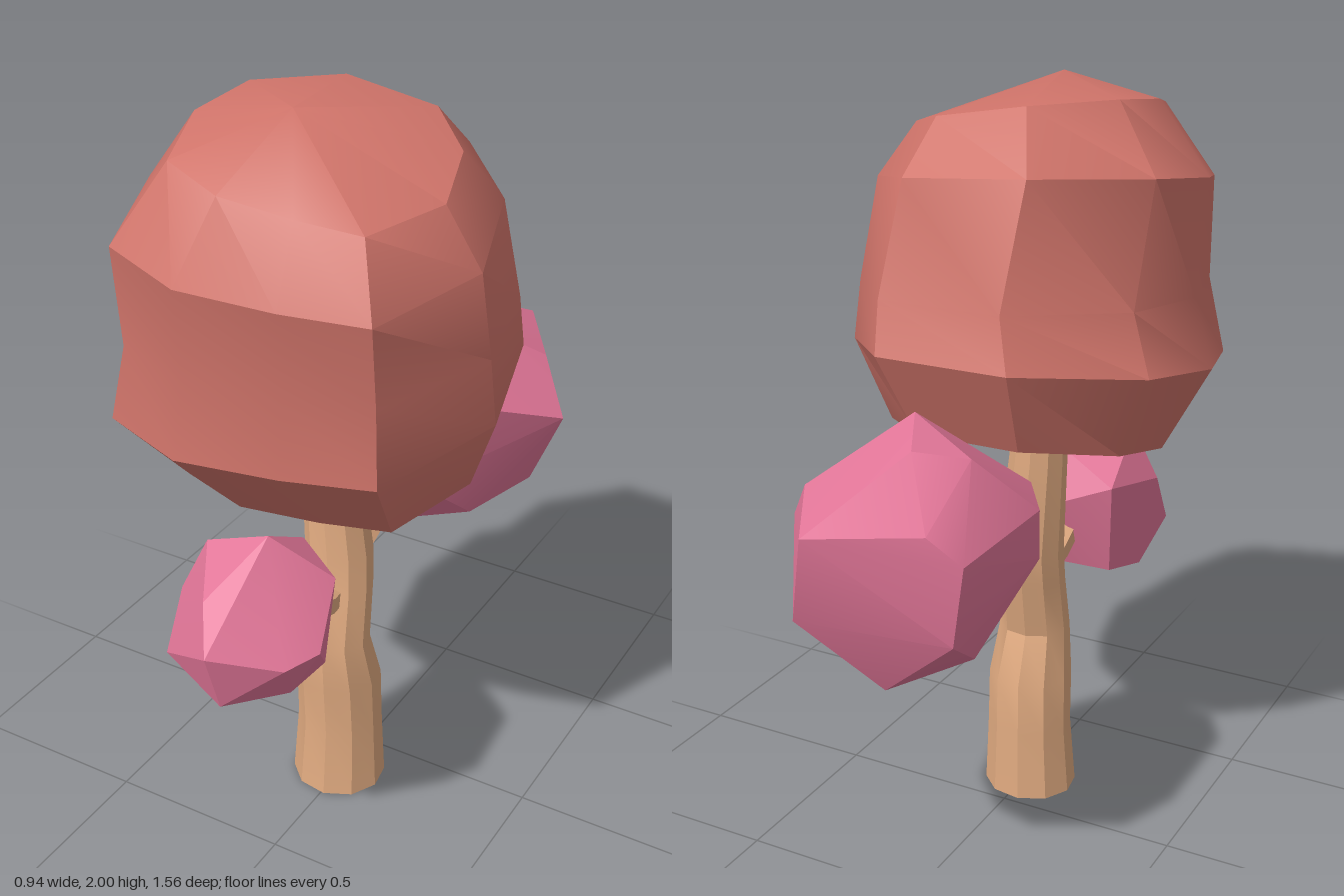
import * as THREE from 'three';
import { toCreasedNormals } from 'three/addons/utils/BufferGeometryUtils.js';
import { ConvexGeometry } from 'three/addons/geometries/ConvexGeometry.js';

const bark = new THREE.MeshStandardMaterial({ color: 0xe0aa80 });
const russet = new THREE.MeshStandardMaterial({ color: 0xd0746a });
const pink = new THREE.MeshStandardMaterial({ color: 0xe27698 });

// Closed skin through stacked rings of [x, y, z] points, with a point closing each end
function loft(rings, bottom, top, crease) {
  const n = rings[0].length;
  const index = [];
  for (let i = 0; i < rings.length; i++) {
    for (let j = 0; j < n; j++) {
      const k = (j + 1) % n, a = i * n + j, b = i * n + k;
      if (i < rings.length - 1) index.push(a, a + n, b + n, a, b + n, b);
      else index.push(a, rings.length * n + 1, b);
      if (i === 0) index.push(a, b, rings.length * n);
    }
  }
  const geometry = new THREE.BufferGeometry();
  geometry.setAttribute('position', new THREE.Float32BufferAttribute([...rings.flat(), bottom, top].flat(), 3));
  geometry.setIndex(index);
  return toCreasedNormals(geometry, crease);
}

function add(group, name, geometry, material) {
  const mesh = new THREE.Mesh(geometry, material);
  mesh.name = name;
  group.add(mesh);
}

// Ten-sided trunk: y, centre x, centre z, radius x, radius z
function trunk() {
  const sections = [
    [0, -0.012, 0.14, 0.13, 0.123],
    [0.2, -0.01, 0.135, 0.118, 0.11],
    [0.35, -0.01, 0.14, 0.116, 0.113],
    [0.49, -0.01, 0.165, 0.1, 0.09],
    [0.65, -0.015, 0.13, 0.096, 0.086],
    [0.74, -0.02, 0.115, 0.092, 0.088],
    [1.02, -0.045, 0.11, 0.078, 0.076],
    [1.15, -0.05, 0.11, 0.072, 0.072],
  ];
  const rings = sections.map(([y, cx, cz, rx, rz]) => Array.from({ length: 10 }, (_, j) => {
    const a = (j + 0.25) / 10 * Math.PI * 2;
    return [cx + rx * Math.cos(a), y, cz + rz * Math.sin(a)];
  }));
  return loft(rings, [-0.012, 0, 0.14], [-0.05, 1.15, 0.11], 0.4);
}

// Faceted branch
function branch(points, radius) {
  const curve = new THREE.CatmullRomCurve3(points.map((p) => new THREE.Vector3(...p)));
  return toCreasedNormals(new THREE.TubeGeometry(curve, 4, radius, 6), 0.5);
}

// Big crown: one plan outline, fitted to a box at each level, tilted and skewed
function crown() {
  const plan = [
    [1, 0.12], [0.75, 0.8], [0.28, 0.92], [-0.28, 1], [-0.78, 0.84], [-1, 0.17],
    [-0.92, -0.44], [-0.4, -0.98], [0.36, -1], [0.79, -0.56],
  ];
  // y, x min, x max, z min, z max, tilt along x, tilt along z, skew of x along z
  const levels = [
    [1.085, -0.37, 0.38, -0.21, 0.45, 0, -0.2, 0],
    [1.3, -0.47, 0.47, -0.31, 0.63, 0, -0.16, -0.025],
    [1.47, -0.41, 0.46, -0.26, 0.62, 0, -0.08, -0.03],
    [1.74, -0.42, 0.45, -0.2, 0.66, -0.08, -0.16, 0],
    [1.9, -0.28, 0.36, -0.06, 0.56, -0.17, -0.14, 0],
  ];
  const rings = levels.map(([y, x0, x1, z0, z1, tx, tz, skew]) => plan.map(([u, v]) => {
    const dx = u * (x1 - x0) / 2, dz = v * (z1 - z0) / 2;
    return [(x0 + x1) / 2 + dx + skew * v, y + tx * dx + tz * dz, (z0 + z1) / 2 + dz];
  }));
  return loft(rings, [0, 1.07, 0.12], [-0.01, 2, 0.31], 0.6);
}

// Angular foliage clump
function clump(points) {
  return toCreasedNormals(new ConvexGeometry(points.map((p) => new THREE.Vector3(...p))), 0.35);
}

export function createModel() {
  const tree = new THREE.Group();
  tree.name = 'tree';
  add(tree, 'trunk', trunk(), bark);
  add(tree, 'backBranch', branch([[-0.02, 0.68, 0.11], [0, 0.75, 0.02], [0.01, 0.82, -0.08], [0.02, 0.84, -0.25]], 0.05), bark);
  add(tree, 'frontBranch', branch([[-0.01, 0.63, 0.16], [0, 0.635, 0.23], [0, 0.66, 0.31], [0, 0.74, 0.44]], 0.043), bark);
  add(tree, 'crown', crown(), russet);
  add(tree, 'backClump', clump([
    [0.11, 1.09, -0.78], [-0.15, 1.1, -0.66], [0.27, 1.1, -0.52], [0.07, 1.26, -0.33],
    [-0.13, 1.2, -0.41], [-0.02, 1.23, -0.5], [0.37, 0.97, -0.43], [-0.23, 1.03, -0.63],
    [-0.23, 1.03, -0.25], [0.15, 1.09, -0.14], [-0.15, 1.05, -0.14], [0.08, 0.82, -0.14],
    [-0.23, 0.9, -0.25], [0.16, 0.86, -0.75], [-0.2, 0.82, -0.63], [0.25, 0.71, -0.5],
    [0, 0.65, -0.61], [0.15, 0.66, -0.32], [-0.02, 0.6, -0.3], [-0.14, 0.68, -0.42],
  ]), pink);
  add(tree, 'frontClump', clump([
    [0.04, 1.03, 0.54], [-0.13, 0.97, 0.55], [0.01, 0.81, 0.78], [-0.05, 0.9, 0.69],
    [0.16, 0.76, 0.67], [0.21, 0.78, 0.59], [0.17, 0.9, 0.45], [-0.2, 0.82, 0.57],
    [0.02, 0.65, 0.74], [-0.2, 0.67, 0.65], [-0.16, 0.55, 0.55], [0.03, 0.55, 0.54],
    [0.13, 0.64, 0.6], [0.1, 0.58, 0.39], [-0.13, 0.58, 0.4], [0.03, 0.78, 0.32],
    [-0.15, 0.85, 0.36], [0.05, 0.95, 0.4],
  ]), pink);
  return tree;
}
